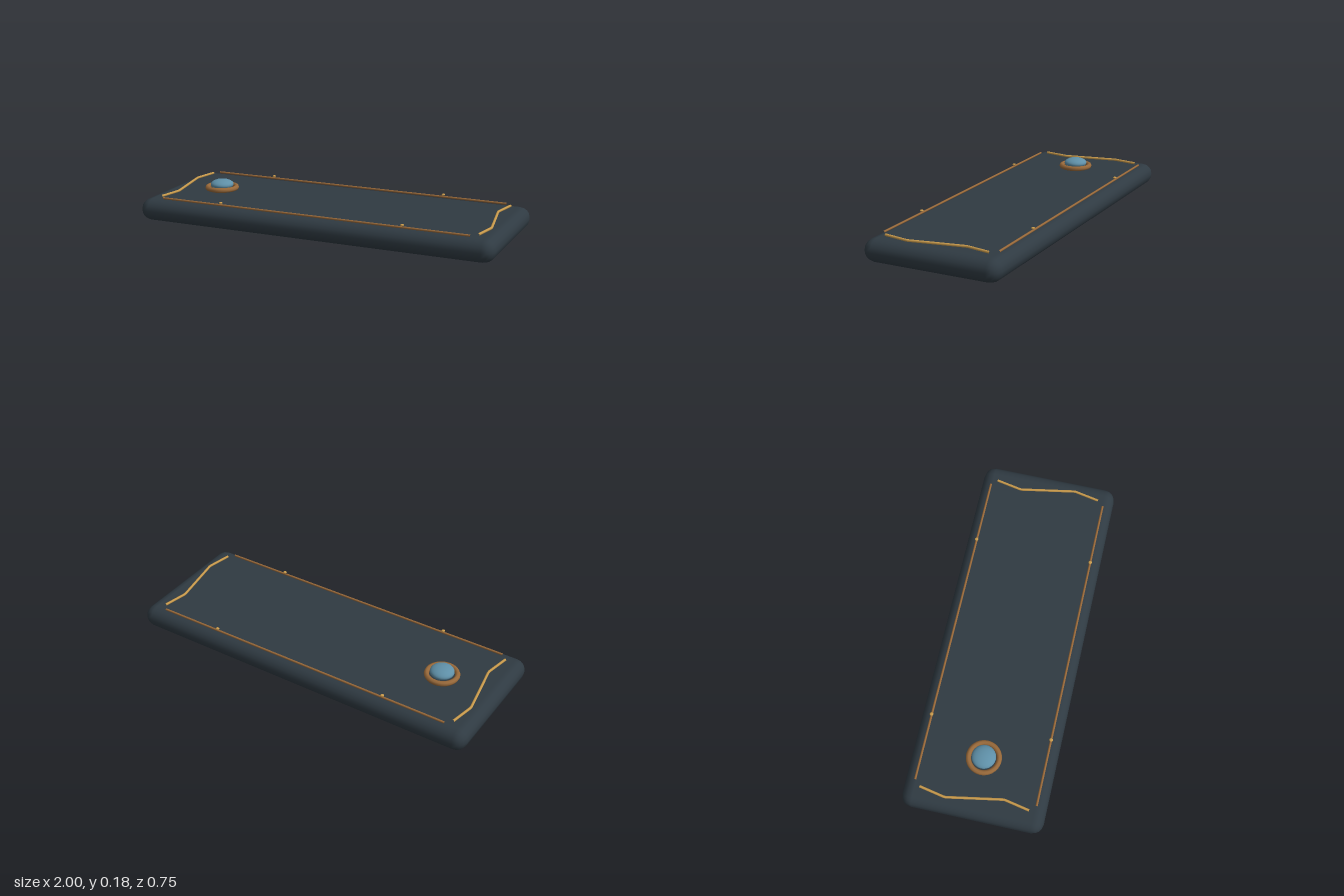
import * as THREE from 'three';
import { RoundedBoxGeometry } from 'three/addons/geometries/RoundedBoxGeometry.js';

const material = (name, color, side = THREE.FrontSide) => {
  const m = new THREE.MeshStandardMaterial({ color, side });
  m.name = name;
  return m;
};

export function createModel() {
  const group = new THREE.Group();
  const slate = material('dark slate', 0x2f3a42);
  const bronze = material('bronze', 0x98693a);
  const gold = material('gold', 0xc89a4c);
  const blue = material('blue glass', 0x5f90a8);

  const add = (name, geometry, mat, x = 0, y = 0, z = 0) => {
    const mesh = new THREE.Mesh(geometry, mat);
    mesh.name = name;
    mesh.position.set(x, y, z);
    group.add(mesh);
    return mesh;
  };

  // Open-ended tube following straight legs between points
  const tube = (points, radius) => {
    const path = new THREE.CurvePath();
    for (let i = 1; i < points.length; i++) path.add(new THREE.LineCurve3(points[i - 1], points[i]));
    return new THREE.TubeGeometry(path, points.length > 2 ? 48 : 1, radius, 8, false);
  };

  // Slab with rounded edges
  add('body', new RoundedBoxGeometry(2, 0.12, 0.75, 2, 0.06), slate, 0, 0.06, 0);

  // Long edge rails with small flattened studs
  for (const z of [-0.32, 0.32]) {
    const rail = [new THREE.Vector3(-0.87, 0, 0), new THREE.Vector3(0.87, 0, 0)];
    add('edgeRail', tube(rail, 0.006), bronze, 0, 0.129, z);
    for (const x of [-0.515, 0.515]) {
      add('railStud', new THREE.SphereGeometry(0.01, 12, 8), gold, x, 0.141, z).scale.y = 0.55;
    }
  }

  // Zigzag trim near both short ends
  const zigzag = [[0, -0.288], [-0.027, -0.15], [0.027, 0.15], [0, 0.288]]
    .map(([x, z]) => new THREE.Vector3(x, 0, z));
  for (const x of [-0.9, 0.9]) add('endTrim', tube(zigzag, 0.007), gold, x, 0.129, 0);

  // Domed button in its ring
  const ring = new THREE.TorusGeometry(0.08, 0.014, 8, 40).rotateX(Math.PI / 2);
  add('buttonRing', ring, bronze, -0.682, 0.135, 0);
  add('buttonDome', new THREE.SphereGeometry(0.064, 28, 16), blue, -0.682, 0.152, 0).scale.y = 0.45;

  return group;
}
